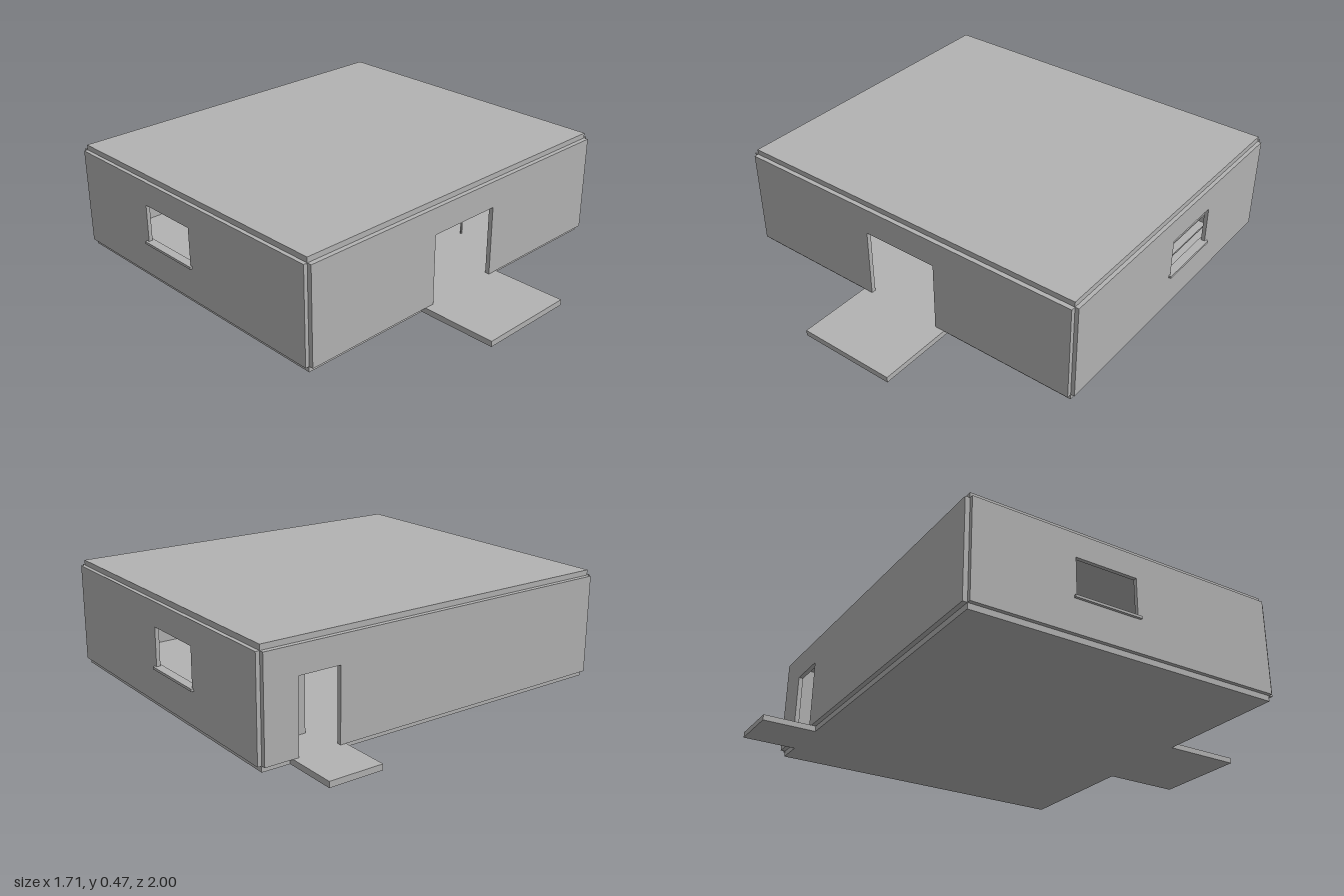
import * as THREE from 'three';

const grey = new THREE.MeshStandardMaterial({ color: 0xb2b2b2 });
grey.name = 'plain grey';

const FLOOR = 0.025, EAVES = 0.452, TOP = 0.475;
const X = 0.825, FRONT = 0.645, BACK = -0.765, WALL = 0.02;

// Box given by its minimum and maximum along each axis
function box(parent, name, [x0, x1], [y0, y1], [z0, z1]) {
  const mesh = new THREE.Mesh(new THREE.BoxGeometry(x1 - x0, y1 - y0, z1 - z0), grey);
  mesh.position.set((x0 + x1) / 2, (y0 + y1) / 2, (z0 + z1) / 2);
  mesh.name = name;
  parent.add(mesh);
  return mesh;
}

function rectangle(Type, u0, u1, v0, v1) {
  const r = new Type();
  r.moveTo(u0, v0).lineTo(u1, v0).lineTo(u1, v1).lineTo(u0, v1).closePath();
  return r;
}

function wall(parent, name, shape, depth) {
  const mesh = new THREE.Mesh(new THREE.ExtrudeGeometry(shape, { depth, bevelEnabled: false }), grey);
  mesh.name = name;
  parent.add(mesh);
  return mesh;
}

// Wall outline with a doorway cut up from the floor
function doorWall(d0, d1) {
  const s = new THREE.Shape();
  s.moveTo(-X, FLOOR).lineTo(d0, FLOOR).lineTo(d0, 0.335).lineTo(d1, 0.335)
    .lineTo(d1, FLOOR).lineTo(X, FLOOR).lineTo(X, EAVES).lineTo(-X, EAVES).closePath();
  return s;
}

// Open shelves running along z, with a back panel on the side given by backX
function shelves(parent, name, [x0, x1], [z0, z1], backX) {
  const unit = new THREE.Group();
  unit.name = name;
  parent.add(unit);
  const t = 0.007;
  for (const y of [0.04, 0.105, 0.17, 0.235, 0.3])
    box(unit, 'shelfBoard', [x0, x1], [y - t, y], [z0, z1]);
  for (const z of [z0, z1 - t])
    box(unit, 'shelfEnd', [x0, x1], [FLOOR, 0.3], [z, z + t]);
  box(unit, 'shelfBack', [backX - t / 2, backX + t / 2], [FLOOR, 0.3], [z0, z1]);
}

export function createModel() {
  const model = new THREE.Group();
  model.name = 'building';

  // Slabs and door steps
  box(model, 'floor', [-X, X], [0, FLOOR], [BACK, FRONT]);
  box(model, 'roof', [-X, X], [EAVES, TOP], [BACK, FRONT]);
  box(model, 'frontStep', [-0.22, 0.22], [0, FLOOR], [FRONT, 1]);
  box(model, 'backStep', [0.47, 0.705], [0, FLOOR], [-1, BACK]);

  // Front and back walls stand just outside the slabs
  wall(model, 'frontWall', doorWall(-0.175, 0.175), WALL).position.z = FRONT;
  wall(model, 'backWall', doorWall(0.495, 0.68), WALL).position.z = BACK - WALL;

  // Side walls with a window and a projecting sill
  for (const side of [1, -1]) {
    const label = side > 0 ? 'left' : 'right';
    const shape = rectangle(THREE.Shape, -FRONT, -BACK, FLOOR, EAVES);
    shape.holes.push(rectangle(THREE.Path, 0.032, 0.316, 0.178, 0.347));
    const sideWall = wall(model, label + 'Wall', shape, 0.017);
    sideWall.rotation.y = Math.PI / 2;
    sideWall.position.x = side > 0 ? X : -X - 0.017;
    const a = side * 0.815, b = side * 0.853;
    box(model, label + 'Sill', [Math.min(a, b), Math.max(a, b)], [0.17, 0.181], [-0.328, -0.02]);
  }

  // Shelving beside the windows
  shelves(model, 'rightShelves', [-0.66, -0.52], [-0.155, 0.3], -0.52);
  shelves(model, 'leftShelves', [0.54, 0.7], [-0.62, -0.31], 0.54);

  // Table inside
  const table = new THREE.Group();
  table.name = 'table';
  model.add(table);
  box(table, 'tableTop', [0.127, 0.4], [0.115, 0.125], [0.1, 0.36]);
  for (const x of [0.145, 0.375])
    for (const z of [0.118, 0.335])
      box(table, 'tableLeg', [x, x + 0.007], [FLOOR, 0.115], [z, z + 0.007]);

  return model;
}
